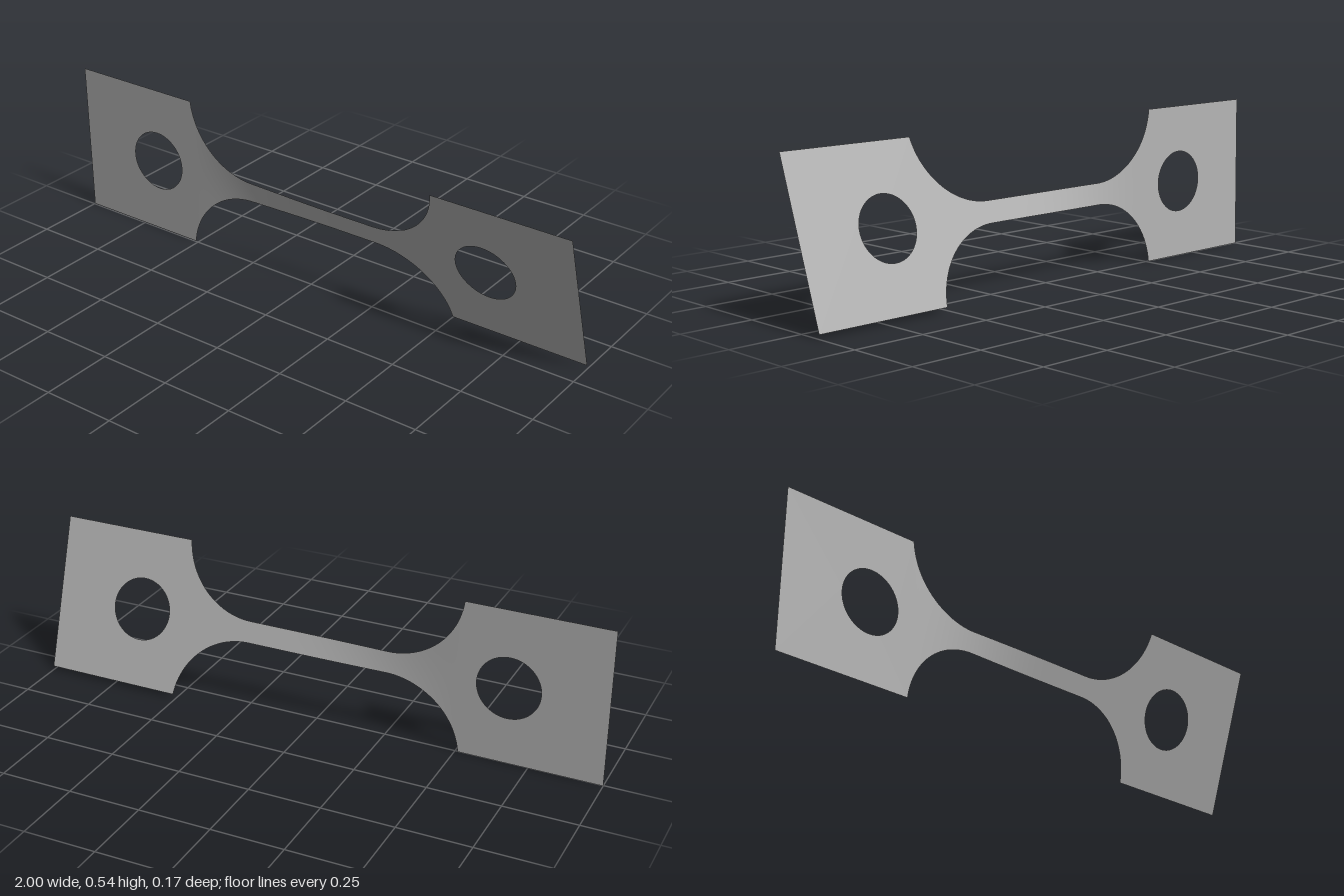
import * as THREE from 'three';

const HALF_H = 0.271, GAUGE = 0.037, R = 0.2615;
const X_TAB = 0.51, X_GAUGE = 0.25;

// Twist about the long axis: nearly upright at -x, leaning forward at +x
function twistAngle(x) {
  return THREE.MathUtils.degToRad(0.6 + 17.9 * THREE.MathUtils.smoothstep(x, -0.5, 0.1));
}

function twist(geometry) {
  const p = geometry.attributes.position;
  for (let i = 0; i < p.count; i++) {
    const a = twistAngle(p.getX(i)), y = p.getY(i);
    p.setXYZ(i, p.getX(i), HALF_H + y * Math.cos(a), y * Math.sin(a));
  }
  geometry.computeVertexNormals();
  return geometry;
}

// Half height of the strip between the tabs: straight gauge with round fillets
function halfHeight(x) {
  const d = Math.max(0, Math.abs(x) - X_GAUGE);
  return Math.min(HALF_H, GAUGE + R - Math.sqrt(Math.max(0, R * R - d * d)));
}

export function createModel() {
  const group = new THREE.Group();
  const grey = new THREE.MeshStandardMaterial({ color: 0xb4b4b4, side: THREE.DoubleSide });
  grey.name = 'plain grey';
  const add = (name, geometry) => {
    const mesh = new THREE.Mesh(twist(geometry), grey);
    mesh.name = name;
    group.add(mesh);
  };

  // Square end tabs with a round hole
  for (const [name, s] of [['leftTab', 1], ['rightTab', -1]]) {
    const x0 = s > 0 ? X_TAB : -1, x1 = s > 0 ? 1 : -X_TAB;
    const shape = new THREE.Shape([
      new THREE.Vector2(x0, -HALF_H), new THREE.Vector2(x1, -HALF_H),
      new THREE.Vector2(x1, HALF_H), new THREE.Vector2(x0, HALF_H),
    ]);
    shape.holes.push(new THREE.Path().absarc(s * 0.67, 0, 0.108, 0, Math.PI * 2, true));
    add(name, new THREE.ShapeGeometry(shape, 32));
  }

  // Column positions: even steps around each fillet, then along the gauge
  const xs = [];
  const N = 24, M = 32, end = Math.asin((X_TAB - X_GAUGE) / R);
  for (let i = N; i > 0; i--) xs.push(-X_GAUGE - R * Math.sin(end * i / N));
  for (let i = 0; i <= M; i++) xs.push(-X_GAUGE + 2 * X_GAUGE * i / M);
  for (let i = 1; i <= N; i++) xs.push(X_GAUGE + R * Math.sin(end * i / N));

  // Twisted narrow strip joining the tabs
  const strip = new THREE.PlaneGeometry(1, 2, xs.length - 1, 8);
  const p = strip.attributes.position;
  for (let i = 0; i < p.count; i++) {
    const x = xs[i % xs.length];
    p.setXY(i, x, p.getY(i) * halfHeight(x));
  }
  add('twistedStrip', strip);

  return group;
}
